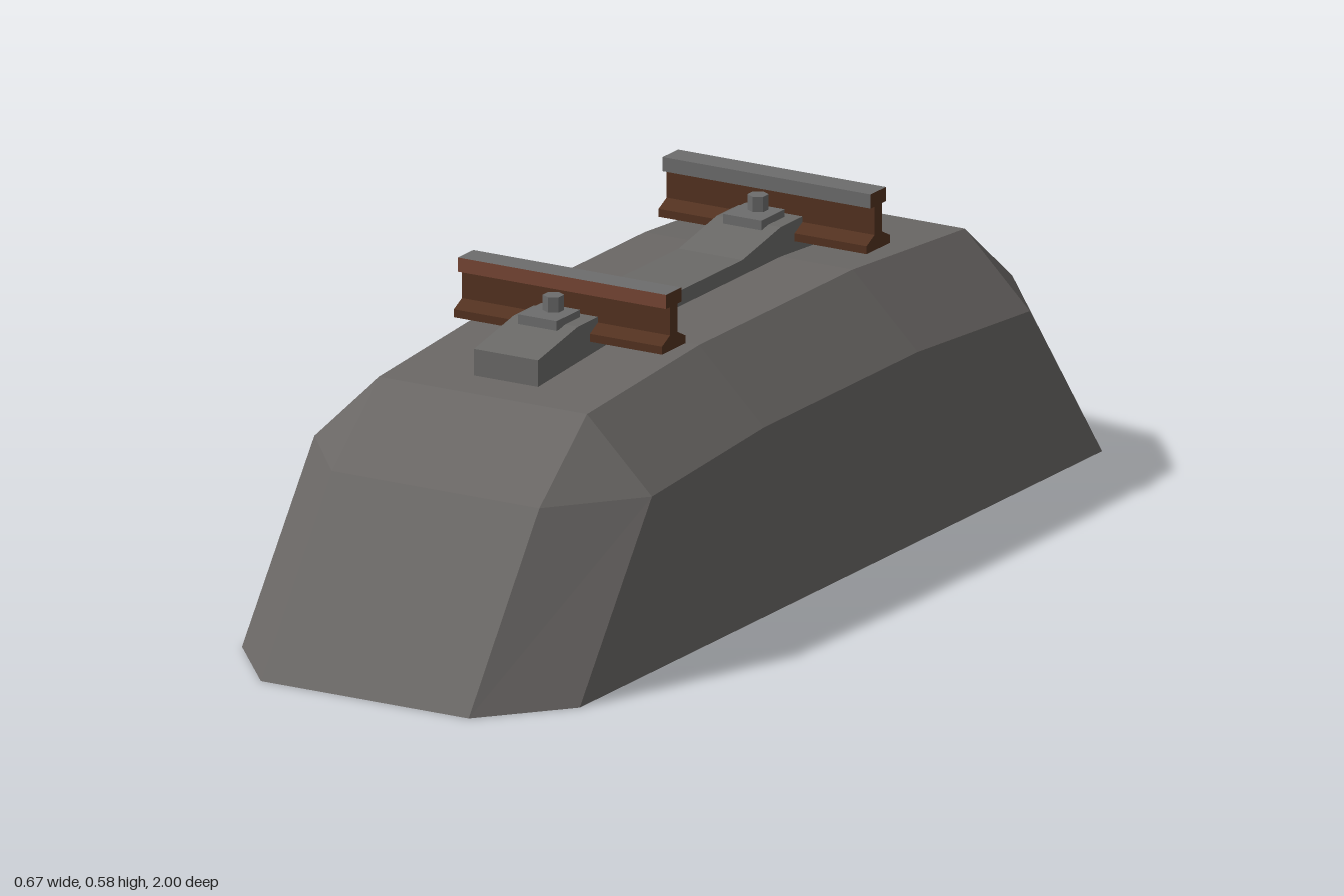
import * as THREE from 'three';

const ballastMat = new THREE.MeshStandardMaterial({ name: 'ballast grey', color: 0x6a6765, side: THREE.DoubleSide });
const sleeperMat = new THREE.MeshStandardMaterial({ name: 'concrete grey', color: 0x6a6967 });
const steelMat = new THREE.MeshStandardMaterial({ name: 'steel grey', color: 0x6c6c6c });
const brownMat = new THREE.MeshStandardMaterial({ name: 'rail brown', color: 0x533220 });
const rustMat = new THREE.MeshStandardMaterial({ name: 'rust red', color: 0x764534 });

function add(parent, name, geometry, material, x = 0, y = 0, z = 0) {
  const mesh = new THREE.Mesh(geometry, material);
  mesh.name = name;
  mesh.position.set(x, y, z);
  parent.add(mesh);
  return mesh;
}

// Extrude an outline given as [z, y] across x, centred on x = 0
function extrudeAcross(points, width) {
  const shape = new THREE.Shape(points.map(([z, y]) => new THREE.Vector2(-z, y)));
  return new THREE.ExtrudeGeometry(shape, { depth: width, bevelEnabled: false })
    .translate(0, 0, -width / 2).rotateY(Math.PI / 2);
}

// Hollow faceted mound, lofted from stations running front to back
function ballastGeometry() {
  const inner = [[1, 0], [0.77, 0.31], [0.615, 0.435], [0.25, 0.46]];
  const outer = [[0.85, 0], [0.615, 0.31], [0.615, 0.31], [0.25, 0.335]];
  const mirror = (path) => [...path, ...path.map(([z, y]) => [-z, y]).reverse()];
  const P = mirror(inner), Q = mirror(outer);
  const rows = P.map(([pz, py], i) => {
    const [qz, qy] = Q[i];
    return [[-0.333, 0, qz], [-0.333, qy, qz], [-0.205, py, pz],
      [0.205, py, pz], [0.333, qy, qz], [0.333, 0, qz]].map((p) => new THREE.Vector3(...p));
  });
  const positions = [];
  const triangle = (a, b, c) => {
    if (new THREE.Triangle(a, b, c).getArea() > 1e-6) {
      for (const p of [a, b, c]) positions.push(p.x, p.y, p.z);
    }
  };
  for (let i = 0; i < rows.length - 1; i++) {
    for (let j = 0; j < 5; j++) {
      const a = rows[i][j], b = rows[i][j + 1], c = rows[i + 1][j + 1], d = rows[i + 1][j];
      triangle(a, b, c);
      triangle(a, c, d);
    }
  }
  const geometry = new THREE.BufferGeometry();
  geometry.setAttribute('position', new THREE.Float32BufferAttribute(positions, 3));
  geometry.computeVertexNormals();
  return geometry;
}

// Rail with worn steel on top and on the inner side; side is +1 front, -1 back
function makeRail(side) {
  const rail = new THREE.Group();
  rail.name = side > 0 ? 'frontRail' : 'backRail';
  rail.position.z = side * 0.333;
  const half = [[0.038, 0.475], [0.038, 0.489], [0.012, 0.502], [0.012, 0.552]];
  const outline = [...half, ...half.map(([z, y]) => [-z, y]).reverse()];
  add(rail, 'railFootAndWeb', extrudeAcross(outline, 0.41), brownMat);
  const front = side > 0 ? rustMat : steelMat;
  const back = side > 0 ? steelMat : rustMat;
  add(rail, 'railHead', new THREE.BoxGeometry(0.41, 0.025, 0.05),
    [brownMat, brownMat, steelMat, brownMat, front, back], 0, 0.5645, 0);

  // Clip plates and hexagonal bolts on both sides of the rail
  for (const s of [-1, 1]) {
    add(rail, 'clipPlate', new THREE.BoxGeometry(0.076, 0.017, 0.076), steelMat, 0, 0.5165, s * 0.067);
    add(rail, 'clipBolt', new THREE.CylinderGeometry(0.018, 0.018, 0.03, 6).toNonIndexed(), steelMat, 0, 0.537, s * 0.053);
  }
  rail.traverse((o) => {
    if (o.name === 'clipBolt') o.geometry.computeVertexNormals();
  });
  return rail;
}

export function createModel() {
  const model = new THREE.Group();
  model.name = 'trackSection';
  add(model, 'ballast', ballastGeometry(), ballastMat);

  // Sleeper with raised rail seats and a lower middle
  const top = [[0.54, 0.487], [0.41, 0.512], [0.25, 0.512], [0.125, 0.487]];
  const outline = [[-0.54, 0.44], [0.54, 0.44], ...top, ...top.map(([z, y]) => [-z, y]).reverse()];
  add(model, 'sleeper', extrudeAcross(outline, 0.126), sleeperMat);

  for (const side of [1, -1]) model.add(makeRail(side));
  return model;
}
